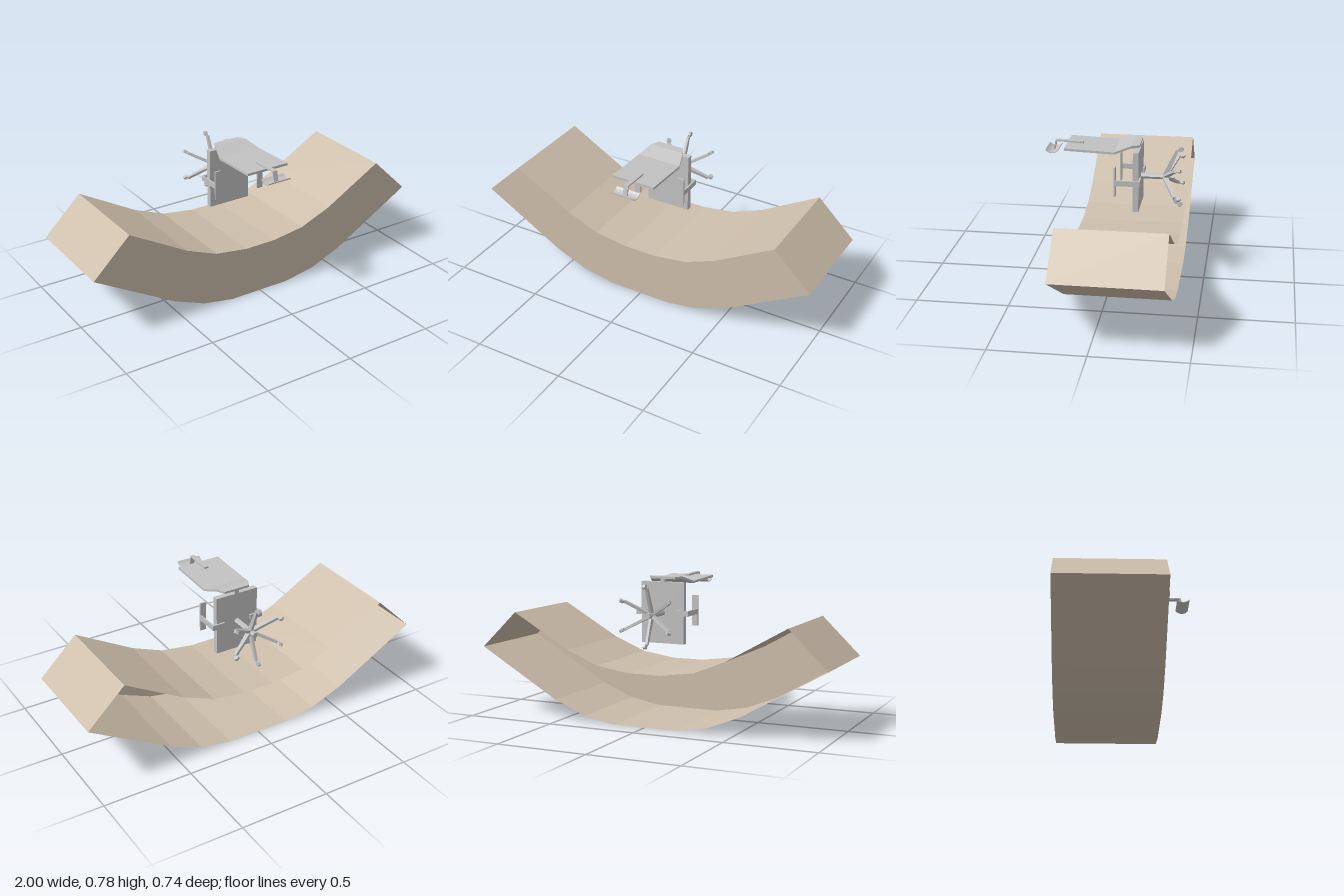
import * as THREE from 'three';

const desk = new THREE.MeshStandardMaterial({ color: 0xcdbeab, side: THREE.DoubleSide, flatShading: true });
desk.name = 'beige';
const grey = new THREE.MeshStandardMaterial({ color: 0xc2c2c2, flatShading: true });
grey.name = 'grey';

function add(parent, geometry, material, name) {
  const mesh = new THREE.Mesh(geometry, material);
  mesh.name = name;
  parent.add(mesh);
  return mesh;
}

// Box given by its limits on each axis
function box(parent, name, [x0, x1], [y0, y1], [z0, z1]) {
  const g = new THREE.BoxGeometry(x1 - x0, y1 - y0, z1 - z0);
  g.translate((x0 + x1) / 2, (y0 + y1) / 2, (z0 + z1) / 2);
  return add(parent, g, grey, name);
}

// Side profile of [z, y] points, extruded across x
function profile(points, width) {
  const shape = new THREE.Shape(points.map(([z, y]) => new THREE.Vector2(z, y)));
  const g = new THREE.ExtrudeGeometry(shape, { depth: width, bevelEnabled: false });
  return g.rotateY(-Math.PI / 2).translate(width / 2, 0, 0);
}

// Curved shell, open at the back
function makeCurvedShell() {
  const group = new THREE.Group();
  group.name = 'curvedShell';
  const half = [[0.18, 0.003], [0.36, 0.032], [0.54, 0.105], [1, 0.37],
    [0.79, 0.573], [0.46, 0.385], [0.28, 0.312], [0.09, 0.285]];
  half[0][1] = 0;
  const loop = [...half, ...half.map(([x, y]) => [-x, y]).reverse()];
  const zFront = 0.195, zBack = -0.37;

  const front = new THREE.ShapeGeometry(new THREE.Shape(loop.map(p => new THREE.Vector2(...p))));
  add(group, front.translate(0, 0, zFront), desk, 'frontPanel');

  const pos = [];
  loop.forEach(([ax, ay], i) => {
    const [bx, by] = loop[(i + 1) % loop.length];
    pos.push(ax, ay, zFront, ax, ay, zBack, bx, by, zBack,
      ax, ay, zFront, bx, by, zBack, bx, by, zFront);
  });
  const rim = new THREE.BufferGeometry();
  rim.setAttribute('position', new THREE.Float32BufferAttribute(pos, 3));
  rim.computeVertexNormals();
  add(group, rim, desk, 'rim');
  return group;
}

// Six tapered legs with hexagonal casters around the post axis
function makeBase(axisY) {
  const base = new THREE.Group();
  base.name = 'starBase';
  base.position.y = axisY;
  for (let i = 0; i < 6; i++) {
    const leg = new THREE.Group();
    leg.name = 'leg';
    leg.rotation.z = i * Math.PI / 3;
    add(leg, profile([[-0.26, 0.008], [-0.292, 0.008], [-0.345, 0.149], [-0.33, 0.153]], 0.014), grey, 'spoke');
    box(leg, 'casterStem', [-0.003, 0.003], [0.146, 0.154], [-0.352, -0.335]);
    const caster = new THREE.CylinderGeometry(0.0145, 0.0145, 0.014, 6);
    caster.rotateX(Math.PI / 6).rotateX(-Math.PI / 6).rotateZ(Math.PI / 2).translate(0, 0.157, -0.358);
    add(leg, caster, grey, 'caster');
    base.add(leg);
  }
  return base;
}

function makeChair() {
  const chair = new THREE.Group();
  chair.name = 'chair';
  const axisY = 0.587;

  box(chair, 'seat', [-0.125, 0.125], [0.42, 0.752], [-0.143, -0.112]);

  // Post
  const post = new THREE.CylinderGeometry(0.0155, 0.0155, 0.182, 6);
  post.rotateY(Math.PI / 6).rotateX(Math.PI / 2).translate(0, axisY, -0.234);
  add(chair, post, grey, 'post');
  chair.add(makeBase(axisY));

  // Backrest, narrowing toward the seat
  const back = profile([[-0.143, 0.769], [-0.098, 0.769], [-0.012, 0.74], [0.258, 0.75],
    [0.258, 0.763], [-0.012, 0.752], [-0.098, 0.781], [-0.143, 0.781]], 0.25);
  const p = back.attributes.position;
  for (let i = 0; i < p.count; i++) {
    const z = p.getZ(i);
    const halfWidth = z < -0.12 ? 0.075 : z < -0.05 ? 0.097 : 0.125;
    p.setX(i, Math.sign(p.getX(i)) * halfWidth);
  }
  add(chair, back, grey, 'backrest');
  box(chair, 'backrestBracket', [-0.013, 0.013], [0.74, 0.779], [-0.143, -0.128]);

  // Headrest on a bent bar
  add(chair, profile([[0.172, 0.759], [0.317, 0.767], [0.329, 0.716], [0.337, 0.716],
    [0.324, 0.774], [0.172, 0.769]].map(([z, y]) => [z, y]), 0.026), grey, 'headrestBar');
  const arc = [];
  for (let i = 0; i <= 6; i++) {
    const t = i / 3 - 1;
    arc.push([0.335 + 0.035 * t, 0.715 + 0.016 * t * t]);
  }
  const upper = arc.map(([z, y]) => [z, y + 0.004]).reverse();
  add(chair, profile([...arc, ...upper], 0.14), grey, 'headrest');

  // Armrests
  for (const s of [-1, 1]) {
    const span = (a, b) => s > 0 ? [a, b] : [-b, -a];
    const arm = new THREE.Group();
    arm.name = s > 0 ? 'leftArmrest' : 'rightArmrest';
    box(arm, 'armBracket', span(0.08, 0.153), [0.573, 0.602], [-0.153, -0.143]);
    box(arm, 'armUpright', span(0.144, 0.153), [0.573, 0.602], [-0.153, -0.02]);
    box(arm, 'armPad', span(0.118, 0.153), [0.51, 0.675], [-0.021, -0.012]);
    chair.add(arm);
  }
  return chair;
}

export function createModel() {
  const model = new THREE.Group();
  model.name = 'curvedShellWithChair';
  model.add(makeCurvedShell(), makeChair());
  return model;
}
